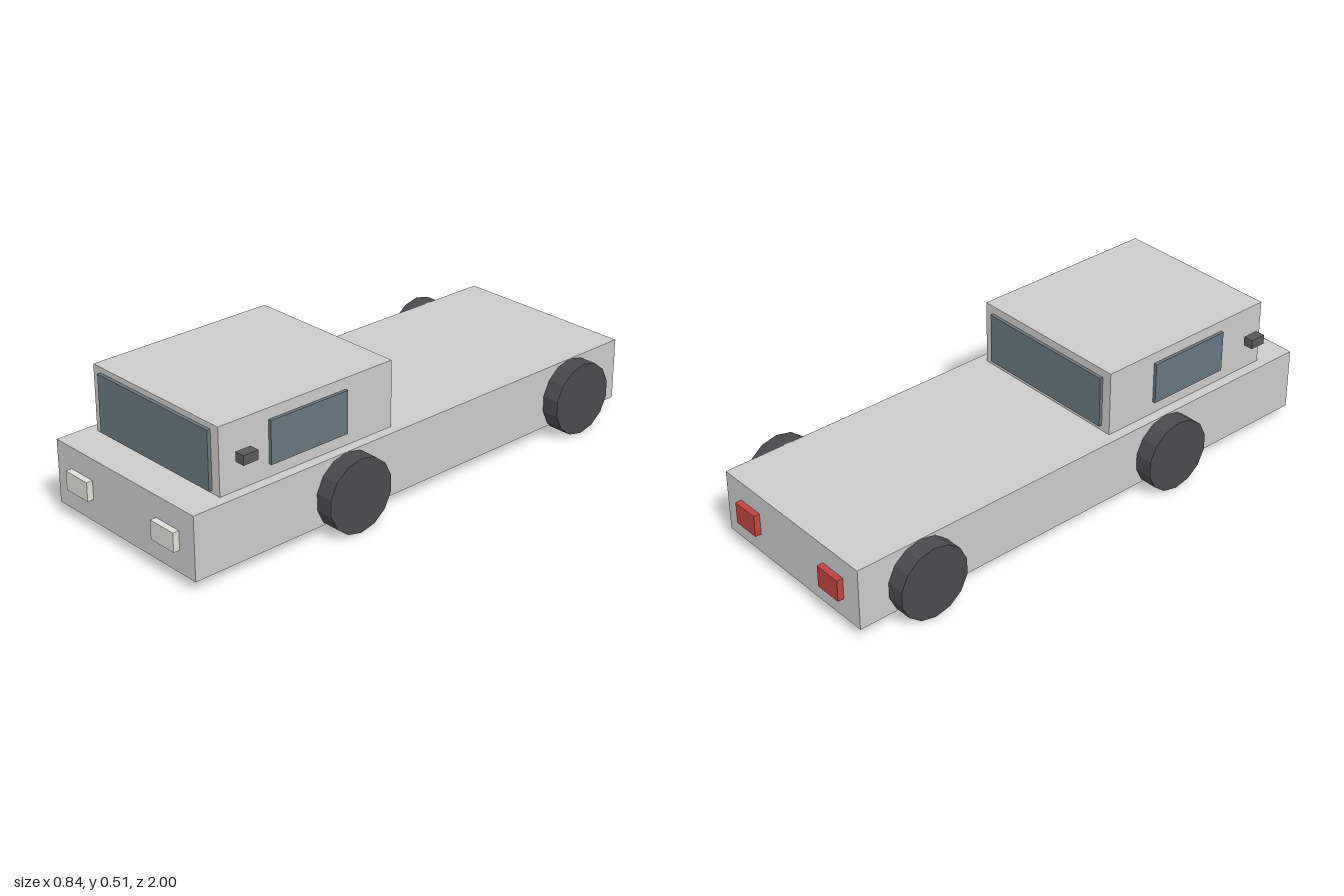
import * as THREE from 'three';

const material = (color) => new THREE.MeshStandardMaterial({ color, flatShading: true });

export function createModel() {
  const truck = new THREE.Group();
  truck.name = 'pickupTruck';
  const paint = material(0xcccccc);
  const glass = material(0x687680);
  const rubber = material(0x4a494d);
  const trim = material(0x5a5a5a);
  const lamp = material(0xe0e0d8);
  const redLamp = material(0xc0443f);

  // Box given by its [min, max] extent along each axis
  const box = (name, mat, [x0, x1], [y0, y1], [z0, z1]) => {
    const mesh = new THREE.Mesh(new THREE.BoxGeometry(x1 - x0, y1 - y0, z1 - z0), mat);
    mesh.position.set((x0 + x1) / 2, (y0 + y1) / 2, (z0 + z1) / 2);
    mesh.name = name;
    truck.add(mesh);
  };
  // The same box on the left (+x) and right (-x)
  const pair = (name, mat, [x0, x1], y, z) => {
    box('left' + name, mat, [x0, x1], y, z);
    box('right' + name, mat, [-x1, -x0], y, z);
  };

  // Body and cab
  box('body', paint, [-0.355, 0.355], [0.04, 0.27], [-0.977, 0.977]);
  box('cab', paint, [-0.317, 0.317], [0.27, 0.51], [0.115, 0.842]);

  // Windows, standing slightly proud of the cab
  box('windshield', glass, [-0.28, 0.28], [0.28, 0.49], [0.83, 0.855]);
  box('rearWindow', glass, [-0.28, 0.28], [0.29, 0.48], [0.103, 0.127]);
  pair('SideWindow', glass, [0.305, 0.329], [0.316, 0.47], [0.318, 0.642]);

  // Mirrors and lights
  pair('Mirror', trim, [0.342, 0.38], [0.387, 0.421], [0.737, 0.797]);
  pair('Headlight', lamp, [0.166, 0.28], [0.121, 0.19], [0.955, 1]);
  pair('TailLight', redLamp, [0.172, 0.276], [0.116, 0.197], [-1, -0.955]);

  // Fourteen-sided wheels, resting on a corner
  const wheelGeometry = new THREE.CylinderGeometry(0.135, 0.135, 0.092, 14, 1, false, Math.PI / 2);
  wheelGeometry.rotateZ(Math.PI / 2);
  for (const [end, z] of [['front', 0.345], ['rear', -0.729]]) {
    for (const [side, x] of [['Left', 0.375], ['Right', -0.375]]) {
      const wheel = new THREE.Mesh(wheelGeometry, rubber);
      wheel.position.set(x, 0.135, z);
      wheel.name = end + side + 'Wheel';
      truck.add(wheel);
    }
  }
  return truck;
}
